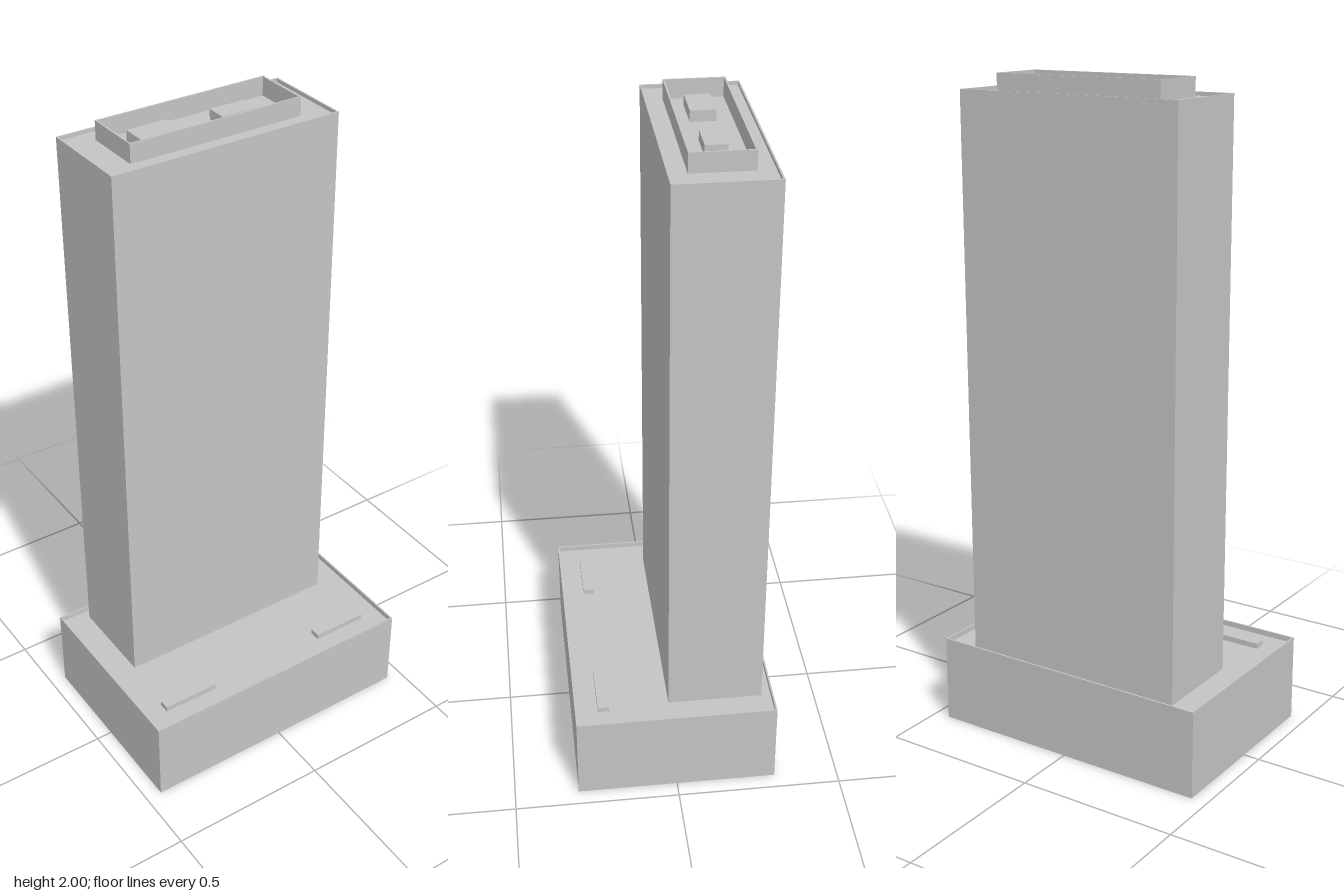
import * as THREE from 'three';

const concrete = new THREE.MeshStandardMaterial({ color: 0xc4c4c4, side: THREE.DoubleSide });
concrete.name = 'concrete grey';

function rectangle(Type, w, d) {
  return new Type([
    new THREE.Vector2(-w / 2, -d / 2), new THREE.Vector2(w / 2, -d / 2),
    new THREE.Vector2(w / 2, d / 2), new THREE.Vector2(-w / 2, d / 2),
  ]);
}

function addMesh(parent, name, geometry) {
  const mesh = new THREE.Mesh(geometry, concrete);
  mesh.name = name;
  parent.add(mesh);
  return mesh;
}

// Thin walls round a sunken deck; the wall tops form the parapet
function walledBlock(name, w, d, z, bottom, top, deck) {
  const t = 0.005;
  const block = new THREE.Group();
  block.name = name;
  block.position.z = z;
  const outline = rectangle(THREE.Shape, w, d);
  outline.holes.push(rectangle(THREE.Path, w - 2 * t, d - 2 * t));
  const walls = new THREE.ExtrudeGeometry(outline, { depth: top - bottom, bevelEnabled: false });
  walls.rotateX(-Math.PI / 2);
  addMesh(block, name + 'Walls', walls).position.y = bottom;
  if (deck) {
    const floor = new THREE.PlaneGeometry(w - t, d - t).rotateX(-Math.PI / 2);
    addMesh(block, name + 'Deck', floor).position.y = deck;
  }
  return block;
}

// Solid box given by its ranges on each axis
function addBox(parent, name, x0, x1, y0, y1, z0, z1) {
  addMesh(parent, name, new THREE.BoxGeometry(x1 - x0, y1 - y0, z1 - z0))
    .position.set((x0 + x1) / 2, (y0 + y1) / 2, (z0 + z1) / 2);
}

export function createModel() {
  const model = new THREE.Group();
  model.name = 'highRise';
  const podiumDeck = 0.253, roof = 1.944;

  // Hollow podium, slab tower and rooftop screen
  model.add(walledBlock('podium', 0.9, 0.61, 0, 0, 0.27, podiumDeck));
  model.add(walledBlock('tower', 0.72, 0.288, -0.127, podiumDeck, 1.955, roof));
  model.add(walledBlock('roofScreen', 0.542, 0.178, -0.127, roof, 2));

  // Rooftop plant inside the screen
  addBox(model, 'largeRoofUnit', -0.207, -0.082, roof, 1.976, -0.163, -0.09);
  addBox(model, 'smallRoofUnit', 0.053, 0.162, roof, 1.974, -0.158, -0.096);

  // Low planters on the podium deck
  for (const [name, side] of [['leftPlanter', 1], ['rightPlanter', -1]]) {
    const x = side * 0.288;
    addBox(model, name, x - 0.089, x + 0.089, podiumDeck, 0.27, 0.2, 0.235);
  }
  return model;
}
